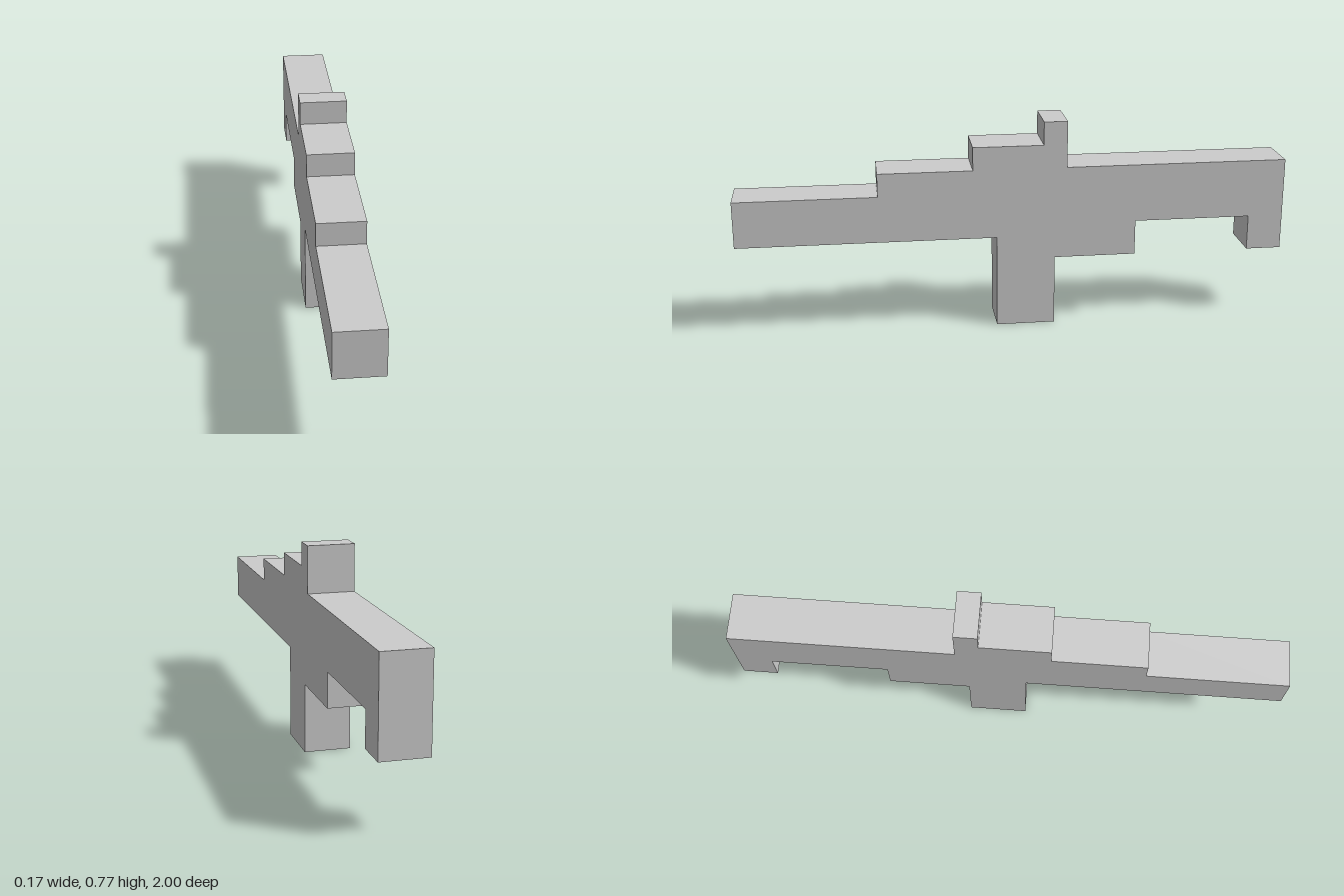
import * as THREE from 'three';

export function createModel() {
  const group = new THREE.Group();
  const u = 2 / 47; // block unit: the body is 47 units long
  const width = 4 * u;

  // Side outline in block units: [distance back from the front tip, height]
  const outline = [
    [0, 8], [22, 8],                      // underside of the barrel
    [22, 0], [27, 0],                     // grip
    [27, 6], [34, 6], [34, 9],            // block behind the grip
    [44, 9], [44, 6], [47, 6],            // rear foot
    [47, 14], [28, 14],                   // top of the stock
    [28, 18], [26, 18], [26, 16],         // rear sight
    [20, 16], [20, 14],                   // raised receiver
    [12, 14], [12, 12], [0, 12],          // step down to the barrel
  ];
  const shape = new THREE.Shape(outline.map(([d, h]) => new THREE.Vector2(d * u - 1, h * u)));

  // Extrude across the width, then turn the outline to run from front to back
  const geometry = new THREE.ExtrudeGeometry(shape, { depth: width, bevelEnabled: false });
  geometry.translate(0, 0, -width / 2);
  geometry.rotateY(Math.PI / 2);

  const body = new THREE.Mesh(
    geometry,
    new THREE.MeshStandardMaterial({ color: 0xcccccc, flatShading: true })
  );
  body.name = 'steppedBody';
  group.add(body);
  return group;
}
